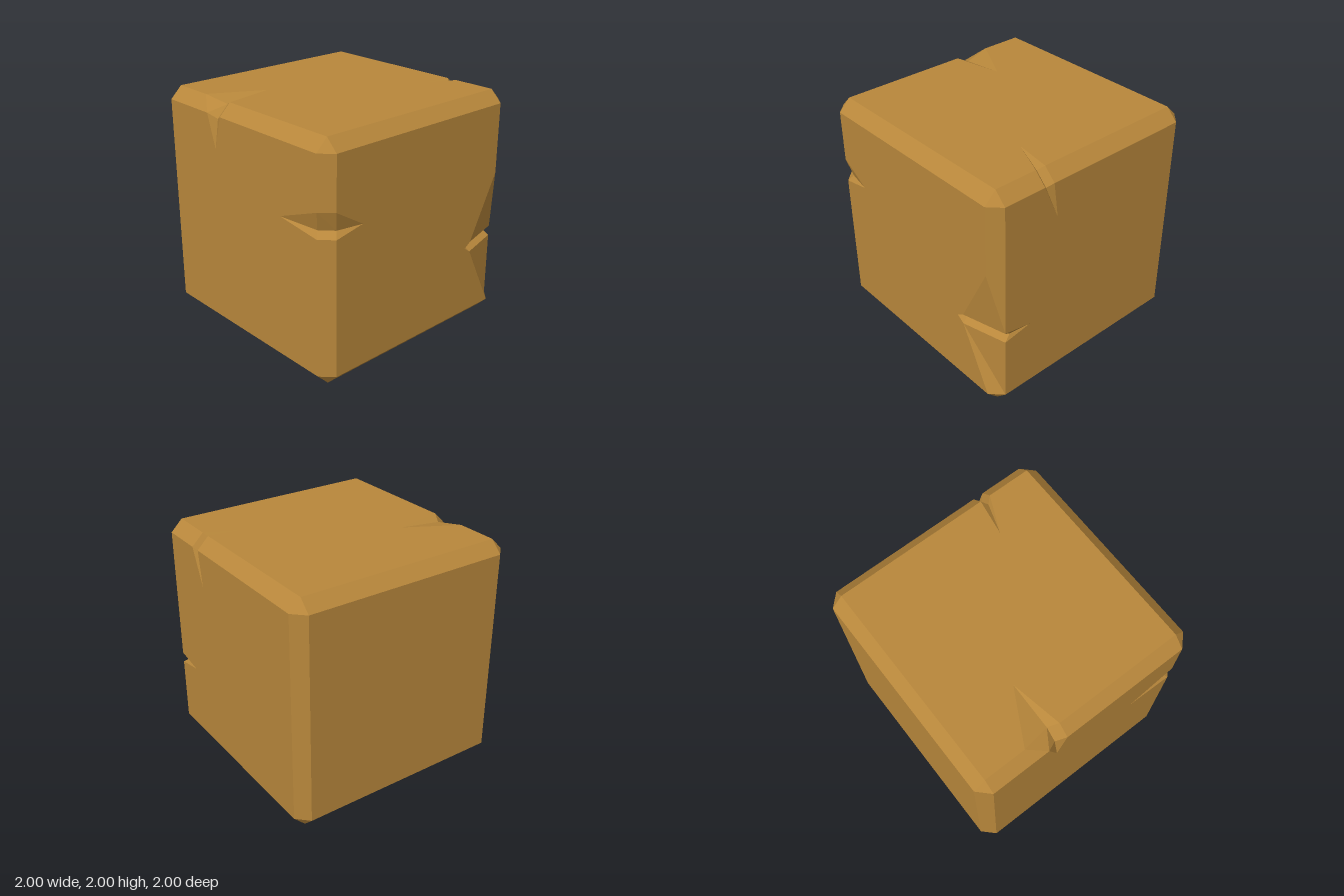
import * as THREE from 'three';

const V = (p) => new THREE.Vector3(...p);
const IN = 0.9; // half size of the flat part of each face

// Chips in the edges. Key "z+x-" = points on the z+ face along its edge to x-.
// Each chain runs in rising order; its second point is the tip of the crack.
const cuts = {
  'z+x-': [[-0.9, 1.25, 1], [-0.64, 1.3, 1], [-0.9, 1.46, 1]],
  'x-z+': [[-1, 1.25, 0.9], [-1, 1.3, 0.485], [-1, 1.46, 0.9]],
  'z+x+': [[0.62, 0.66, 1], [0.555, 0.705, 1], [0.62, 0.75, 1], [0.9, 1.3, 1]],
  'x+z+': [[1, 0.66, 0.9], [1, 0.705, 0.65], [1, 0.75, 0.9], [1, 1.3, 0.9]],
  'y+x+': [[0.9, 2, 0.435], [0.585, 2, 0.385], [0.9, 2, 0.525]],
  'x+y+': [[1, 1.9, 0.435], [1, 1.59, 0.39], [1, 1.9, 0.525]],
  'y+x-': [[-0.9, 2, -0.54], [-0.465, 2, -0.305], [-0.9, 2, -0.22]],
  'x-y+': [[-1, 1.9, -0.39], [-1, 1.62, -0.3], [-1, 1.9, -0.22]],
};
// Deepest line of each chip: the point near the first face, then the second.
const floors = {
  'x-z+': [[-0.96, 1.3, 0.86], [-0.865, 1.3, 0.96]],
  'x+z+': [[0.98, 0.705, 0.84], [0.605, 0.705, 0.94]],
  'x+y+': [[0.96, 1.86, 0.48], [0.86, 1.96, 0.48]],
  'x-y+': [[-0.96, 1.86, -0.305], [-0.86, 1.96, -0.305]],
};

const name = (axis, sign) => 'xyz'[axis] + (sign > 0 ? '+' : '-');

// Point from axis/value pairs, lifted so the block stands on the ground
function point(...pairs) {
  const p = [0, 0, 0];
  for (const [axis, value] of pairs) p[axis] = value;
  p[1] += 1;
  return p;
}

// Border of face (a, sa) along its edge to face (b, sb)
function chain(a, sa, b, sb) {
  const c = 3 - a - b;
  const end = (s) => point([a, sa], [b, sb * IN], [c, s * IN]);
  return [end(-1), ...(cuts[name(a, sa) + name(b, sb)] || []), end(1)];
}

// Adds a polygon that faces the given direction
function addPolygon(out, points, dir) {
  const n = V(dir).normalize();
  const u = new THREE.Vector3(0, 1, 0);
  if (Math.abs(n.y) > 0.9) u.set(1, 0, 0);
  u.cross(n).normalize();
  const v = n.clone().cross(u);
  let pts = points.map(V);
  let flat = pts.map((p) => new THREE.Vector2(p.dot(u), p.dot(v)));
  if (THREE.ShapeUtils.isClockWise(flat)) {
    pts = pts.reverse();
    flat = flat.reverse();
  }
  for (const tri of THREE.ShapeUtils.triangulateShape(flat, [])) {
    for (const i of tri) out.push(pts[i].x, pts[i].y, pts[i].z);
  }
}

function buildBlock() {
  const out = [];
  const signs = [-1, 1];

  // Six flat faces
  for (let a = 0; a < 3; a++) for (const sa of signs) {
    const b = (a + 1) % 3, c = (a + 2) % 3;
    const loop = [
      chain(a, sa, b, -1), chain(a, sa, c, 1),
      chain(a, sa, b, 1).reverse(), chain(a, sa, c, -1).reverse(),
    ].flatMap((side) => side.slice(0, -1));
    addPolygon(out, loop, [0, 1, 2].map((i) => (i === a ? sa : 0)));
  }

  // Twelve bevelled edges, with the chips cut into four of them
  for (let a = 0; a < 3; a++) for (let b = a + 1; b < 3; b++)
    for (const sa of signs) for (const sb of signs) {
      const c = 3 - a - b;
      const p = chain(a, sa, b, sb), q = chain(b, sb, a, sa);
      const dir = (along) => {
        const d = [0, 0, 0];
        d[a] = sa; d[b] = sb; d[c] = along;
        return d;
      };
      const floor = floors[name(a, sa) + name(b, sb)];
      for (let i = 0; i + 1 < p.length; i++) {
        if (floor && (i === 1 || i === 2)) continue;
        addPolygon(out, [p[i], p[i + 1], q[i + 1], q[i]], dir(0));
      }
      if (!floor) continue;
      // Two walls of the chip, each a strip with a pointed end on either face
      for (const [k, along] of [[1, 1], [3, -1]]) {
        addPolygon(out, [p[k], p[2], floor[0]], dir(along));
        addPolygon(out, [p[k], floor[0], floor[1], q[k]], dir(along));
        addPolygon(out, [q[k], floor[1], q[2]], dir(along));
      }
    }

  // Eight corner facets
  for (const x of signs) for (const y of signs) for (const z of signs) {
    const s = [x, y, z];
    const tri = [0, 1, 2].map((a) =>
      point(...s.map((v, i) => [i, i === a ? v : v * IN])));
    addPolygon(out, tri, s);
  }

  const geometry = new THREE.BufferGeometry();
  geometry.setAttribute('position', new THREE.Float32BufferAttribute(out, 3));
  geometry.computeVertexNormals();
  return geometry;
}

export function createModel() {
  const group = new THREE.Group();
  group.name = 'chippedBlock';
  const ochre = new THREE.MeshStandardMaterial({ color: 0xb8873b });
  ochre.name = 'ochre';
  const block = new THREE.Mesh(buildBlock(), ochre);
  block.name = 'block';
  group.add(block);
  return group;
}
